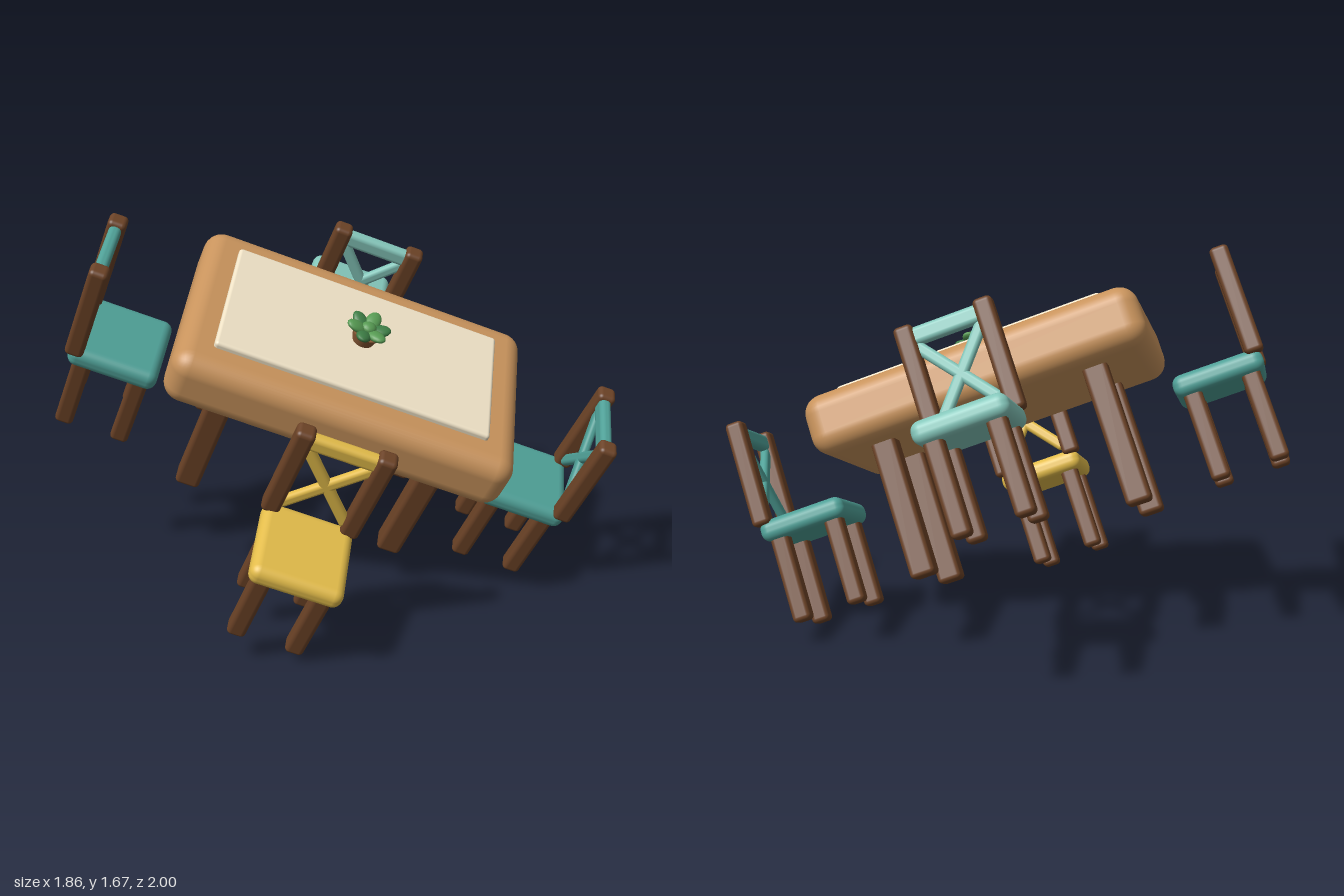
import * as THREE from 'three';
import { RoundedBoxGeometry } from 'three/addons/geometries/RoundedBoxGeometry.js';

const mat = (color) => new THREE.MeshStandardMaterial({ color });
const topWood = mat(0xc8935c), legWood = mat(0x6b4226), clothMat = mat(0xefe2c6);
const teal = mat(0x4fa097), mint = mat(0x84c6ba), yellow = mat(0xe3bc4a);
const greens = [mat(0x3d7d45), mat(0x569a52)];

// Rounded block centred on (x, z), spanning heights y0 to y1
function block(name, material, w, d, y0, y1, r, x = 0, z = 0) {
  const mesh = new THREE.Mesh(new RoundedBoxGeometry(w, y1 - y0, d, 4, r), material);
  mesh.position.set(x, (y0 + y1) / 2, z);
  mesh.name = name;
  return mesh;
}

// Four legs at (+-px, +-pz)
function addLegs(group, name, width, height, px, pz) {
  for (const sx of [-1, 1]) for (const sz of [-1, 1])
    group.add(block(name, legWood, width, width, 0, height, 0.02, sx * px, sz * pz));
}

function makeTable() {
  const g = new THREE.Group();
  g.name = 'table';
  g.add(block('tableTop', topWood, 1.44, 0.88, 0.58, 0.834, 0.08));
  g.add(block('tableCloth', clothMat, 1.16, 0.615, 0.82, 0.861, 0.015));
  addLegs(g, 'tableLeg', 0.105, 0.62, 0.463, 0.23);
  return g;
}

// Chair with its back on the -z side
function makeChair(color) {
  const g = new THREE.Group();
  g.name = 'chair';
  g.add(block('seat', color, 0.38, 0.38, 0.362, 0.455, 0.04));
  addLegs(g, 'chairLeg', 0.078, 0.4, 0.123, 0.123);
  for (const s of [-1, 1]) {
    g.add(block('backPost', legWood, 0.078, 0.078, 0.435, 0.9, 0.02, s * 0.165, -0.167));
    // crossed braces
    const brace = block('crossBrace', color, 0.05, 0.038, 0.425, 0.865, 0.017, 0, -0.167);
    brace.rotation.z = s * Math.atan2(0.28, 0.34);
    g.add(brace);
  }
  g.add(block('topRail', color, 0.32, 0.052, 0.81, 0.885, 0.022, 0, -0.167));
  return g;
}

function makePlant() {
  const g = new THREE.Group();
  g.name = 'plant';
  const pot = new THREE.Mesh(new THREE.CylinderGeometry(0.06, 0.045, 0.05, 20), mat(0x8a5a35));
  pot.position.y = 0.025;
  pot.name = 'pot';
  g.add(pot);
  const leafGeo = new THREE.SphereGeometry(1, 16, 12);
  for (let i = 0; i < 6; i++) {
    const pivot = new THREE.Group();
    pivot.rotation.y = (i * Math.PI) / 3 + 0.25;
    const leaf = new THREE.Mesh(leafGeo, greens[i % 2]);
    leaf.name = 'leaf';
    leaf.scale.set(0.048, 0.018, 0.032);
    leaf.position.set(0.05, 0.064 + 0.008 * (i % 2), 0);
    leaf.rotation.z = 0.3;
    pivot.add(leaf);
    g.add(pivot);
  }
  const heart = new THREE.Mesh(leafGeo, greens[1]);
  heart.name = 'centreLeaf';
  heart.scale.set(0.032, 0.02, 0.03);
  heart.position.y = 0.075;
  g.add(heart);
  return g;
}

export function createModel() {
  const model = new THREE.Group();
  model.name = 'diningSet';

  // The whole set is turned and tipped forward
  const set = new THREE.Group();
  set.name = 'tiltedSet';
  set.rotation.set(Math.PI / 6, -Math.PI / 4, 0);
  set.position.set(0, 0.45, -0.25);
  model.add(set);

  set.add(makeTable());
  const plant = makePlant();
  plant.position.y = 0.858;
  set.add(plant);

  // End chairs have their backs outward, side chairs toward the table
  const chairs = [
    [teal, 0.92, 0, -Math.PI / 2],
    [teal, -0.92, 0, Math.PI / 2],
    [yellow, 0, 0.81, 0],
    [mint, 0, -0.81, Math.PI],
  ];
  for (const [color, x, z, turn] of chairs) {
    const chair = makeChair(color);
    chair.position.set(x, 0, z);
    chair.rotation.y = turn;
    set.add(chair);
  }

  // Rest the lowest point on the ground
  model.updateMatrixWorld(true);
  set.position.y -= new THREE.Box3().setFromObject(model, true).min.y;
  return model;
}
